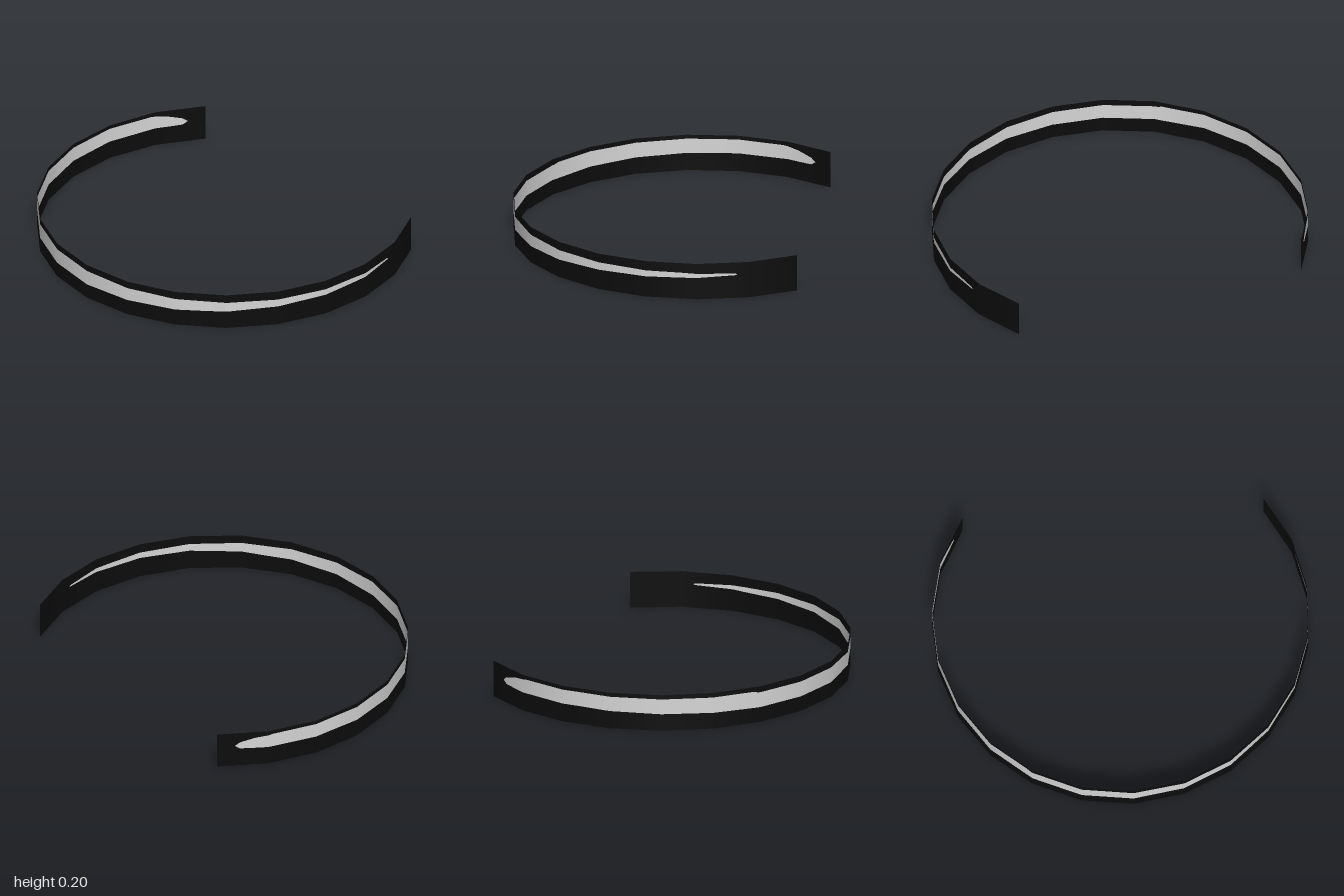
import * as THREE from 'three';

const SEGMENTS = 16, RADIUS = 1.004, CENTRE_X = 0.2, HEIGHT = 0.2;
const START = Math.atan2(0.8, 0.6), STEP = (Math.PI * 2 - 2 * START) / SEGMENTS;

// Tapering stripe along the band: [segment position, lower edge, upper edge]
const STRIPE = [
  [0, 0.132, 0.132], [1.22, 0.132, 0.132], [1.26, 0.128, 0.138], [2.3, 0.118, 0.146],
  [4, 0.109, 0.151], [5.5, 0.095, 0.155], [8, 0.081, 0.164], [10.05, 0.083, 0.167],
  [10.15, 0.083, 0.174], [11.35, 0.09, 0.175], [13.7, 0.1, 0.179], [14.9, 0.101, 0.178],
  [15.25, 0.102, 0.165], [15.55, 0.104, 0.142], [15.65, 0.122, 0.122], [16, 0.122, 0.122],
];

// Stripe edges at a segment position
function stripeAt(u) {
  let i = 1;
  while (i < STRIPE.length - 1 && STRIPE[i][0] < u) i++;
  const a = STRIPE[i - 1], b = STRIPE[i];
  const t = (u - a[0]) / (b[0] - a[0]);
  return [THREE.MathUtils.lerp(a[1], b[1], t), THREE.MathUtils.lerp(a[2], b[2], t)];
}

// Point on the straight-sided arc at a segment position
function arcPoint(u) {
  const i = Math.min(Math.floor(u), SEGMENTS - 1), t = u - i;
  const a = START + i * STEP, b = a + STEP;
  return [
    RADIUS * THREE.MathUtils.lerp(Math.cos(a), Math.cos(b), t),
    RADIUS * THREE.MathUtils.lerp(Math.sin(a), Math.sin(b), t),
  ];
}

// Thin curved ribbon between two height rules
function ribbon(lower, upper) {
  const stops = new Set(STRIPE.map((s) => s[0]));
  for (let i = 0; i <= SEGMENTS; i++) stops.add(i);
  const positions = [], normals = [], index = [];
  [...stops].sort((a, b) => a - b).forEach((u, i) => {
    const [x, z] = arcPoint(u), r = Math.hypot(x, z);
    for (const y of [lower(u), upper(u)]) {
      positions.push(x + CENTRE_X, y, z);
      normals.push(x / r, 0, z / r);
    }
    if (i > 0) {
      const k = 2 * i - 2;
      index.push(k, k + 1, k + 2, k + 2, k + 1, k + 3);
    }
  });
  const geometry = new THREE.BufferGeometry();
  geometry.setAttribute('position', new THREE.Float32BufferAttribute(positions, 3));
  geometry.setAttribute('normal', new THREE.Float32BufferAttribute(normals, 3));
  geometry.setIndex(index);
  return geometry;
}

export function createModel() {
  const black = new THREE.MeshStandardMaterial({ color: 0x0c0c0c, side: THREE.DoubleSide });
  black.name = 'black';
  const lightGrey = new THREE.MeshStandardMaterial({ color: 0xd6d6d6, side: THREE.DoubleSide });
  lightGrey.name = 'lightGrey';

  const group = new THREE.Group();
  group.name = 'openBand';
  const add = (name, material, lower, upper) => {
    const mesh = new THREE.Mesh(ribbon(lower, upper), material);
    mesh.name = name;
    group.add(mesh);
  };
  const stripeBottom = (u) => stripeAt(u)[0], stripeTop = (u) => stripeAt(u)[1];

  // Black band with the light stripe let into it
  add('lowerBand', black, () => 0, stripeBottom);
  add('stripe', lightGrey, stripeBottom, stripeTop);
  add('upperBand', black, stripeTop, () => HEIGHT);
  return group;
}
